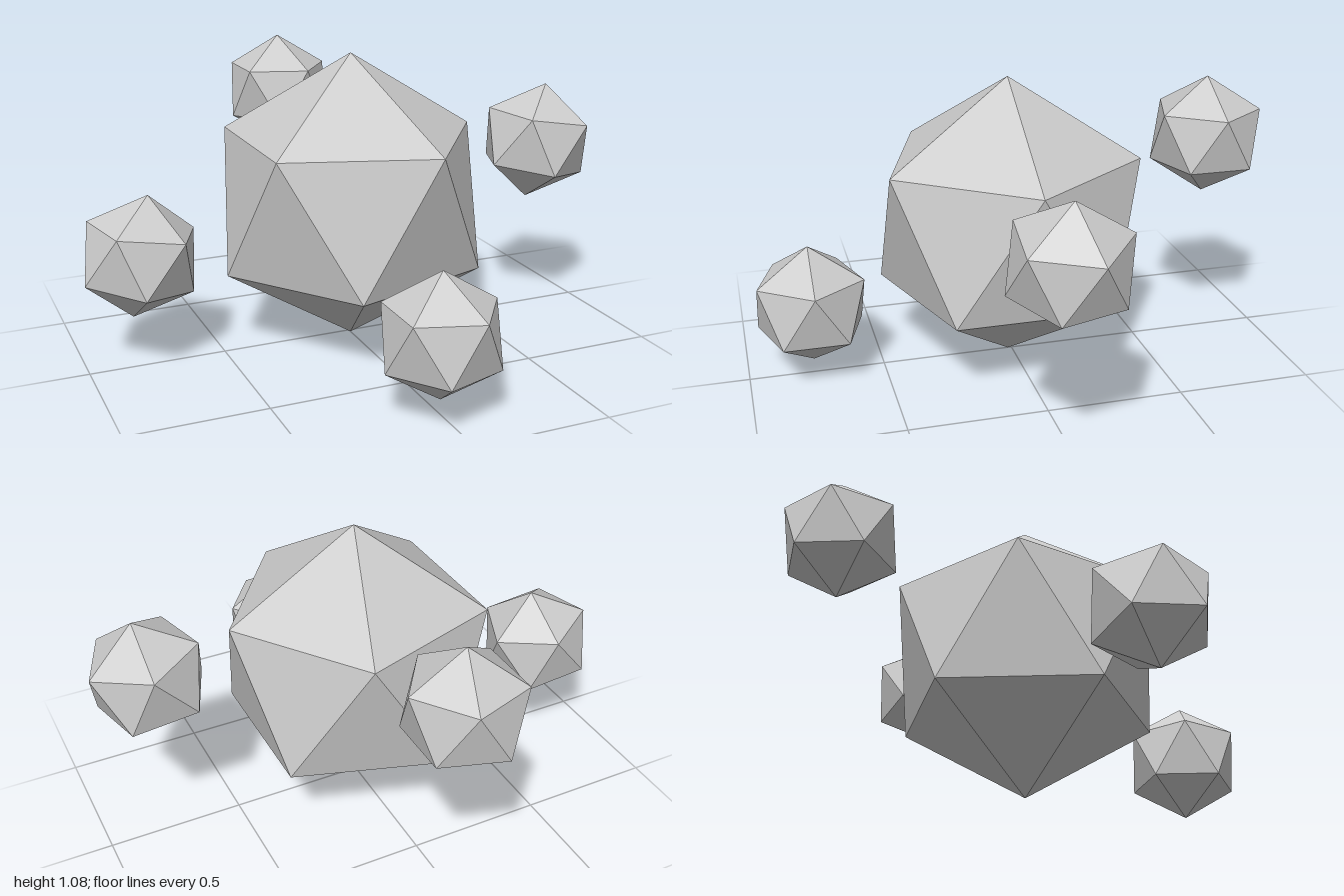
import * as THREE from 'three';

const rad = THREE.MathUtils.degToRad;

// Icosahedron standing on one corner, with an upper-ring corner facing +x
function uprightIcosahedron(radius) {
  const geometry = new THREE.IcosahedronGeometry(radius, 0);
  geometry.rotateZ(-Math.atan(2 / (1 + Math.sqrt(5))));
  return geometry;
}

export function createModel() {
  const group = new THREE.Group();
  const material = new THREE.MeshStandardMaterial({ color: 0xcccccc, flatShading: true });
  const smallRock = uprightIcosahedron(0.226);

  function addRock(name, geometry, position, spin = 0, tilt = 0) {
    const mesh = new THREE.Mesh(geometry, material);
    mesh.name = name;
    mesh.position.set(...position);
    // Spin about its own axis first, then lean sideways
    mesh.rotation.set(0, rad(spin), rad(tilt), 'ZYX');
    group.add(mesh);
  }

  // Large central body
  addRock('centralBody', uprightIcosahedron(0.542), [0, 0.542, 0.015]);

  // Four small satellites floating around it
  addRock('frontSatellite', smallRock, [0, 0.28, 0.76]);
  addRock('backSatellite', smallRock, [0, 0.808, -0.76]);
  addRock('leftSatellite', smallRock, [0.788, 0.684, 0.023], 13.5, -9.2);
  addRock('rightSatellite', smallRock, [-0.79, 0.404, -0.028], 13.5, -9.2);

  return group;
}
